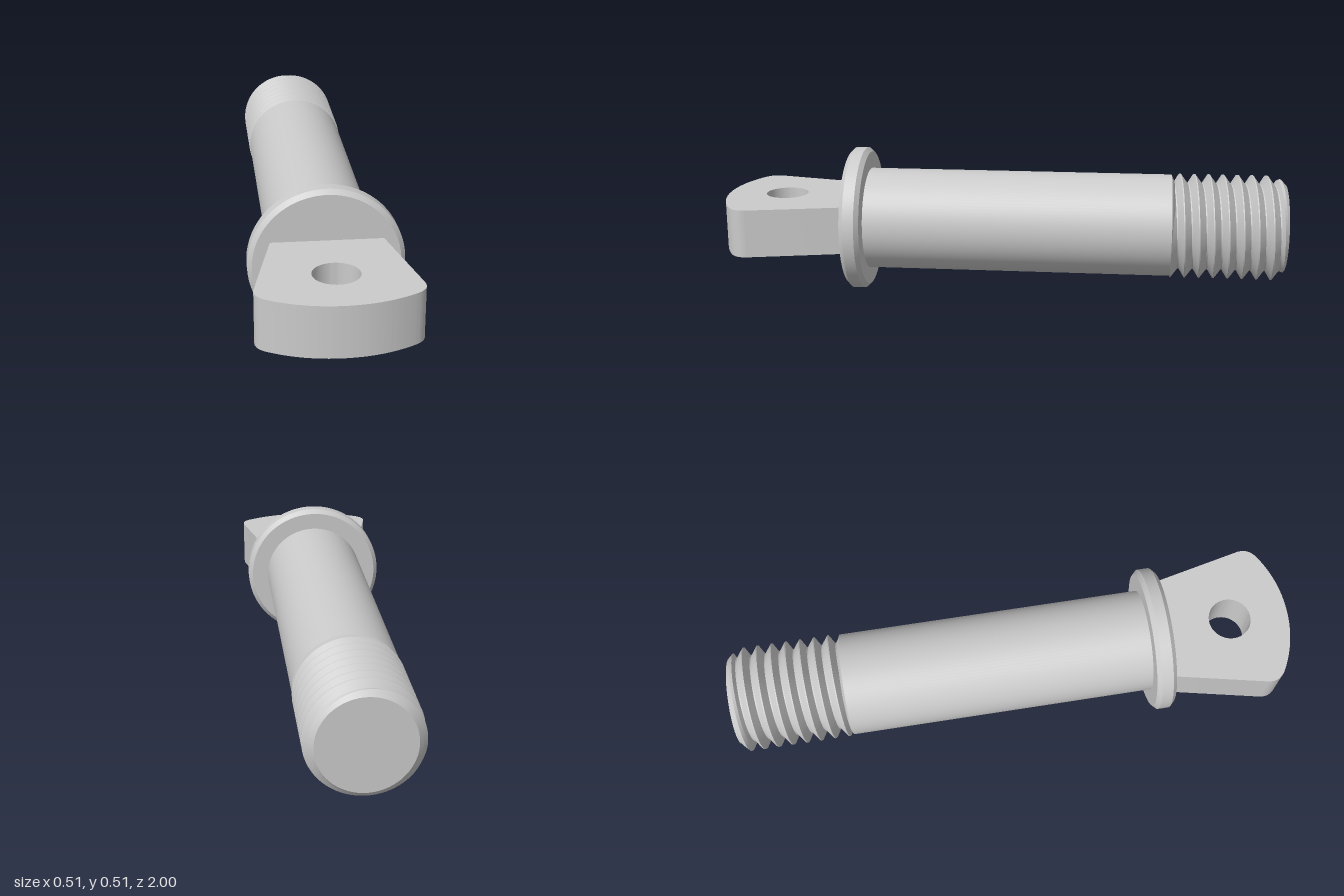
import * as THREE from 'three';
import { toCreasedNormals } from 'three/addons/utils/BufferGeometryUtils.js';

const AXIS_Y = 0.256;
const material = new THREE.MeshStandardMaterial({ color: 0xcccccc });

function part(name, geometry) {
  const mesh = new THREE.Mesh(geometry, material);
  mesh.name = name;
  return mesh;
}

// Turned solid along z from [radius, z] points in ascending z
function turned(points) {
  const geo = new THREE.LatheGeometry(points.map(p => new THREE.Vector2(...p)), 96);
  return toCreasedNormals(geo.rotateX(Math.PI / 2), 0.5);
}

// Right-handed helical thread, with a chamfered tip at zMin
function threadGeometry(zMin, zMax, pitch, root, crest) {
  const SEG = 96;
  const phases = [0, 0.08, 0.27, 0.46, 0.54, 0.77];
  const profile = f => {
    f -= Math.floor(f);
    const t = f < 0.08 ? 1 : f < 0.46 ? (0.46 - f) / 0.38 : f < 0.54 ? 0 : (f - 0.54) / 0.46;
    return root + (crest - root) * t;
  };
  const rows = [];
  const turns = Math.ceil((zMax - zMin) / pitch);
  for (let k = -1; k <= turns; k++) for (const f of phases) rows.push(k + f);

  const pos = [], index = [];
  const addVertex = (row, i) => {
    const turn = i / SEG, a = turn * Math.PI * 2;
    const z = THREE.MathUtils.clamp(zMin + pitch * (row + turn), zMin, zMax);
    const r = Math.min(profile((z - zMin) / pitch - turn), root + (z - zMin));
    pos.push(r * Math.cos(a), r * Math.sin(a), z);
  };
  // Each strip owns its vertices, so crests and roots stay sharp
  for (let j = 0; j < rows.length - 1; j++) {
    const base = pos.length / 3;
    for (let i = 0; i <= SEG; i++) {
      addVertex(rows[j], i);
      addVertex(rows[j + 1], i);
    }
    for (let i = 0; i < SEG; i++) {
      const a = base + i * 2;
      index.push(a, a + 2, a + 1, a + 2, a + 3, a + 1);
    }
  }
  const geo = new THREE.BufferGeometry();
  geo.setAttribute('position', new THREE.Float32BufferAttribute(pos, 3));
  geo.setIndex(index);
  geo.computeVertexNormals();
  return geo;
}

// Flared lug with rounded nose and cross hole, drawn in plan (x, z)
function lugGeometry() {
  const s = new THREE.Shape();
  s.moveTo(-0.172, 0.5);
  s.lineTo(0.172, 0.5);
  s.lineTo(0.253, 0.87);
  s.quadraticCurveTo(0.263, 0.915, 0.222, 0.94);
  s.quadraticCurveTo(0.12, 1, 0, 1);
  s.quadraticCurveTo(-0.12, 1, -0.222, 0.94);
  s.quadraticCurveTo(-0.263, 0.915, -0.253, 0.87);
  s.closePath();
  const hole = new THREE.Path();
  hole.absarc(0, 0.79, 0.075, 0, Math.PI * 2, true);
  s.holes.push(hole);
  const geo = new THREE.ExtrudeGeometry(s, { depth: 0.17, bevelEnabled: false, curveSegments: 32 });
  geo.rotateX(Math.PI / 2).translate(0, 0.085, 0);
  return toCreasedNormals(geo, 0.5);
}

export function createModel() {
  const model = new THREE.Group();
  model.name = 'threadedPin';
  const body = new THREE.Group();
  body.name = 'pinBody';
  body.position.y = AXIS_Y;
  model.add(body);

  body.add(part('shaft', turned([[0, -0.61], [0.16, -0.61], [0.181, -0.6], [0.181, 0.5]])));
  body.add(part('collar', turned([
    [0, 0.48], [0.241, 0.48], [0.256, 0.495], [0.256, 0.535], [0.241, 0.55], [0, 0.55],
  ])));
  body.add(part('lug', lugGeometry()));
  body.add(part('thread', threadGeometry(-1, -0.6, 0.0505, 0.154, 0.185)));

  // Flat tip of the thread
  const tip = part('threadTip', new THREE.CircleGeometry(0.154, 96));
  tip.rotation.y = Math.PI;
  tip.position.z = -1;
  body.add(tip);
  return model;
}
